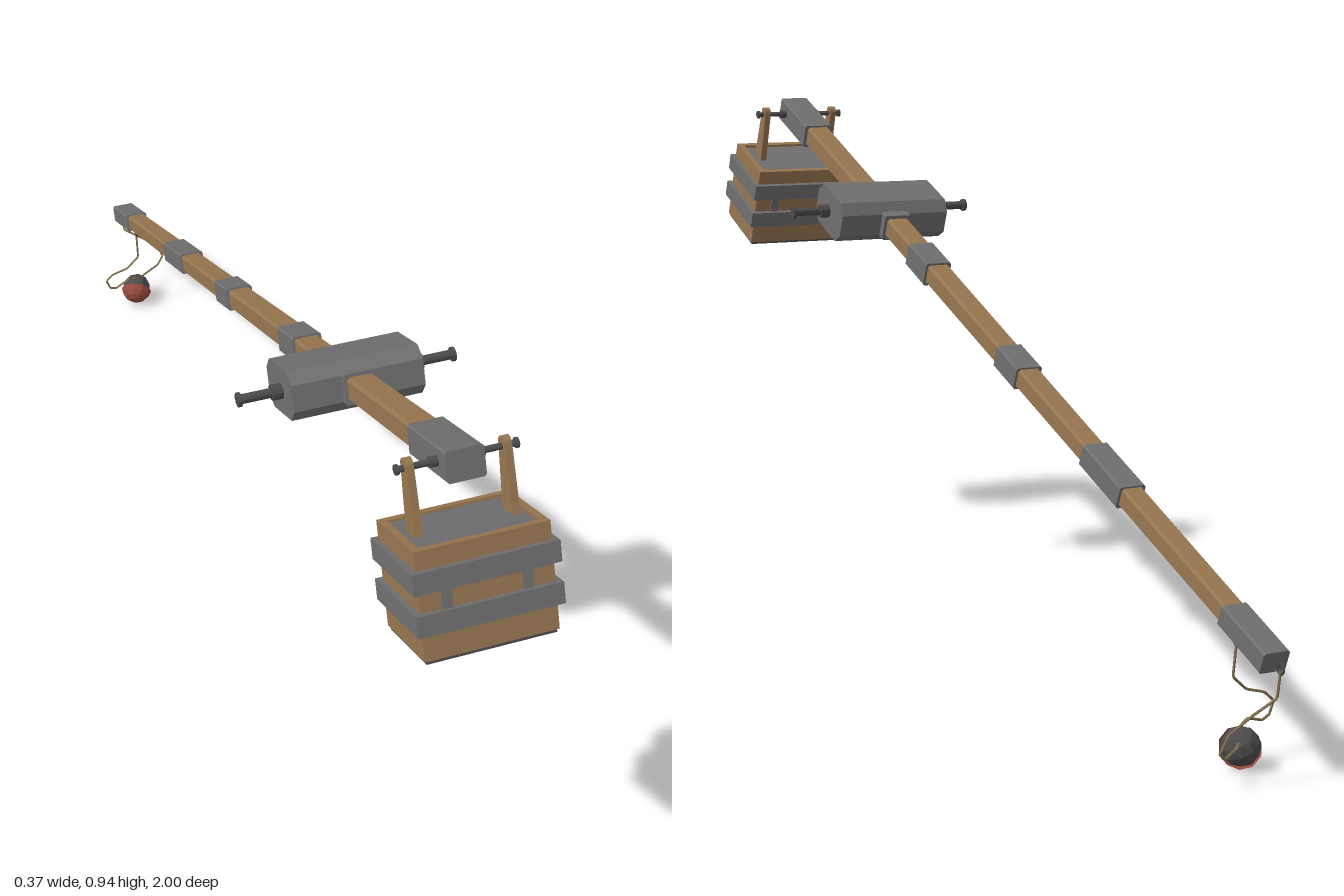
import * as THREE from 'three';

const material = (color, extra = {}) =>
  new THREE.MeshStandardMaterial({ color, flatShading: true, roughness: 0.9, ...extra });
const wood = material(0x977650);
const iron = material(0x707070);
const darkIron = material(0x4c4c4c);
const rope = material(0x85754f);
const leather = material(0x9a4a3c, { side: THREE.DoubleSide });

function add(parent, name, geometry, mat, x = 0, y = 0, z = 0) {
  const mesh = new THREE.Mesh(geometry, mat);
  mesh.name = name;
  mesh.position.set(x, y, z);
  parent.add(mesh);
  return mesh;
}

// Rectangle with cut corners, extruded from z0 to z1; the z0 end may be scaled for a taper
function chamferBar(hx, hy, cut, z0, z1, endScale = 1) {
  const outline = [
    [hx - cut, -hy], [hx, cut - hy], [hx, hy - cut], [hx - cut, hy],
    [cut - hx, hy], [-hx, hy - cut], [-hx, cut - hy], [cut - hx, -hy],
  ].map(([x, y]) => new THREE.Vector2(x, y));
  const depth = z1 - z0;
  const geometry = new THREE.ExtrudeGeometry(new THREE.Shape(outline), { depth, bevelEnabled: false });
  const p = geometry.attributes.position;
  for (let i = 0; i < p.count; i++) {
    const k = endScale + (1 - endScale) * (p.getZ(i) / depth);
    p.setXYZ(i, p.getX(i) * k, p.getY(i) * k, p.getZ(i) + z0);
  }
  geometry.computeVertexNormals();
  return geometry;
}

// Round bar along x
const rod = (radius, length) => new THREE.CylinderGeometry(radius, radius, length, 10).rotateZ(Math.PI / 2);

function buildBeam(arm) {
  add(arm, 'beam', chamferBar(0.024, 0.021, 0.005, -1.45, 0.46, 0.76), wood);
  // Iron sleeves: start, end, half width, half height
  const sleeves = [
    ['buttCap', 0.345, 0.49, 0.03, 0.024],
    ['hubSleeve', -0.085, 0.068, 0.028, 0.026],
    ['beamBand', -0.28, -0.196, 0.026, 0.023],
    ['beamBand', -0.67, -0.59, 0.025, 0.021],
    ['beamBand', -1.05, -0.92, 0.024, 0.02],
    ['tipCap', -1.49, -1.37, 0.023, 0.018],
  ];
  for (const [name, z0, z1, hx, hy] of sleeves) add(arm, name, chamferBar(hx, hy, 0.003, z0, z1), iron);
}

function buildPivot(arm) {
  add(arm, 'pivotHub', chamferBar(0.063, 0.041, 0.019, -0.112, 0.112).rotateY(Math.PI / 2), iron, 0, 0, -0.007);
  add(arm, 'axle', rod(0.008, 0.37), darkIron);
  for (const side of [-1, 1]) {
    add(arm, 'axleCollar', rod(0.013, 0.018), darkIron, side * 0.121, 0, 0);
    add(arm, 'axleHead', rod(0.012, 0.006), darkIron, side * 0.184, 0, 0);
  }
}

function buildCounterweight(arm) {
  const box = new THREE.Group();
  box.name = 'counterweight';
  box.position.set(0, -0.18, 0.453);
  arm.add(box);
  const hx = 0.104, hy = 0.084, hz = 0.073;
  const boxGeo = (x, y, z) => new THREE.BoxGeometry(x, y, z);

  add(box, 'crateCore', boxGeo(2 * hx - 0.012, 2 * hy - 0.01, 2 * hz - 0.012), iron);
  add(box, 'crateFloor', boxGeo(2 * hx - 0.006, 0.01, 2 * hz - 0.006), darkIron, 0, -hy, 0);
  // Planked walls
  for (const side of [-1, 1]) {
    for (let row = 0; row < 3; row++) {
      const y = (row - 1) * 0.056;
      add(box, 'longWallPlank', boxGeo(2 * hx, 0.055, 0.012), wood, 0, y, side * (hz - 0.006));
      add(box, 'shortWallPlank', boxGeo(0.012, 0.055, 2 * hz - 0.024), wood, side * (hx - 0.006), y, 0);
    }
    for (const x of [-0.062, 0.062]) {
      add(box, 'wallStrap', boxGeo(0.016, 0.05, 0.004), iron, x, 0.008, side * (hz + 0.001));
    }
  }
  // Iron hoops, hollow so the planks show between them
  for (const y of [-0.026, 0.038]) {
    for (const side of [-1, 1]) {
      add(box, 'longHoop', boxGeo(2 * hx + 0.018, 0.033, 0.009), iron, 0, y, side * (hz + 0.0045));
      add(box, 'shortHoop', boxGeo(0.009, 0.033, 2 * hz), iron, side * (hx + 0.0045), y, 0);
    }
  }

  // Hangers and the pin through the beam butt
  const hanger = new THREE.Shape();
  hanger.moveTo(-0.018, -0.1).lineTo(0.018, -0.1).lineTo(0.011, 0.004);
  hanger.absarc(0, 0.004, 0.011, 0, Math.PI, false);
  const hangerGeo = new THREE.ExtrudeGeometry(hanger, { depth: 0.012, bevelEnabled: false, curveSegments: 5 });
  hangerGeo.translate(0, 0, -0.006).rotateY(Math.PI / 2);
  add(arm, 'hangerPin', rod(0.005, 0.184), darkIron, 0, 0.002, 0.457);
  for (const side of [-1, 1]) {
    add(arm, 'hanger', hangerGeo, wood, side * 0.075, 0.002, 0.457);
    add(arm, 'pinCollar', rod(0.008, 0.012), darkIron, side * 0.036, 0.002, 0.457);
    add(arm, 'pinHead', rod(0.008, 0.005), darkIron, side * 0.092, 0.002, 0.457);
  }
}

function buildSling(model) {
  const sling = new THREE.Group();
  sling.name = 'sling';
  model.add(sling);
  const ropes = [
    [[0, 0.205, -0.877], [0, 0.138, -0.868], [-0.027, 0.114, -0.865], [-0.06, 0.105, -0.865],
      [-0.076, 0.09, -0.866], [-0.068, 0.069, -0.867], [-0.053, 0.063, -0.87], [-0.02, 0.074, -0.88], [0, 0.066, -0.888]],
    [[0, 0.183, -0.99], [0, 0.138, -0.983], [0.035, 0.115, -0.974], [0.072, 0.089, -0.968],
      [0.083, 0.06, -0.962], [0.068, 0.046, -0.952], [0.03, 0.047, -0.925], [0.015, 0.05, -0.91]],
  ];
  for (const points of ropes) {
    const path = new THREE.CurvePath();
    const v = points.map((p) => new THREE.Vector3(...p));
    for (let i = 1; i < v.length; i++) path.add(new THREE.LineCurve3(v[i - 1], v[i]));
    add(sling, 'slingRope', new THREE.TubeGeometry(path, 48, 0.0022, 5), rope);
  }
  // Rope eyes at the beam tip
  add(sling, 'releaseRing', new THREE.TorusGeometry(0.008, 0.002, 5, 10).rotateY(Math.PI / 2), darkIron, 0, 0.184, -0.99);
  add(sling, 'fixedRing', new THREE.TorusGeometry(0.008, 0.002, 5, 10).rotateY(Math.PI / 2), darkIron, 0, 0.196, -0.877);
  // Stone in its open leather pouch
  add(sling, 'stone', new THREE.IcosahedronGeometry(0.031, 1), darkIron, 0, 0.037, -0.893);
  const pouch = add(sling, 'pouch',
    new THREE.SphereGeometry(0.034, 10, 4, 0, Math.PI * 2, 0, Math.PI * 0.45), leather, 0, 0.036, -0.893);
  pouch.quaternion.setFromUnitVectors(new THREE.Vector3(0, 1, 0), new THREE.Vector3(-0.35, -0.5, 0.8).normalize());
}

export function createModel() {
  const model = new THREE.Group();
  model.name = 'throwingArm';
  // Arm space: origin at the axle, +z toward the counterweight
  const arm = new THREE.Group();
  arm.name = 'arm';
  arm.position.set(0, 0.74, 0.41);
  arm.rotation.x = -0.378;
  model.add(arm);
  buildBeam(arm);
  buildPivot(arm);
  buildCounterweight(arm);
  buildSling(model);
  return model;
}
